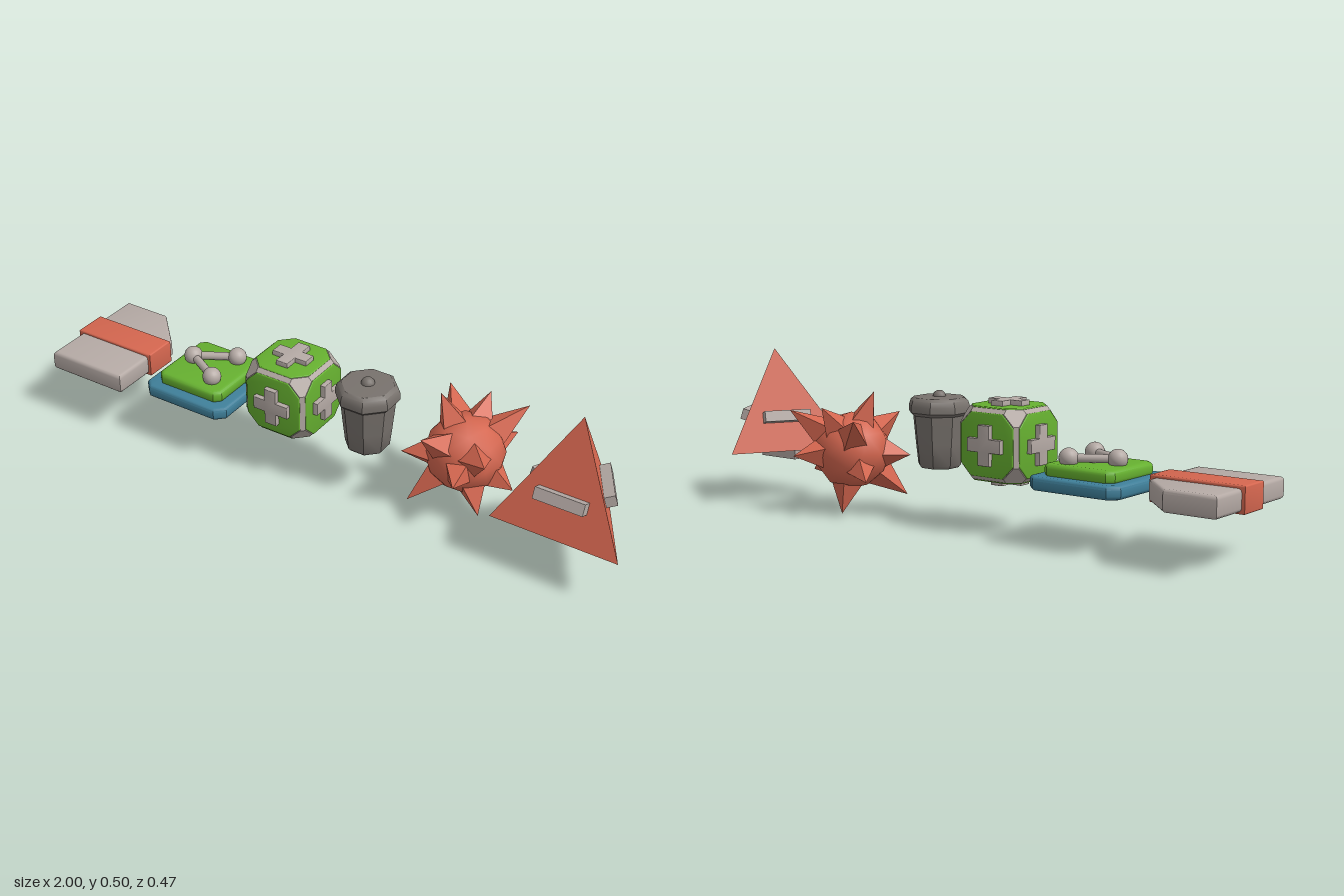
import * as THREE from 'three';
import { toCreasedNormals } from 'three/addons/utils/BufferGeometryUtils.js';
import { ConvexGeometry } from 'three/addons/geometries/ConvexGeometry.js';

function mat(name, color, flatShading = false) {
  const m = new THREE.MeshStandardMaterial({ color, flatShading });
  m.name = name;
  return m;
}

function add(parent, name, geometry, material, x = 0, y = 0, z = 0) {
  const mesh = new THREE.Mesh(geometry, material);
  mesh.name = name;
  mesh.position.set(x, y, z);
  parent.add(mesh);
  return mesh;
}

function group(parent, name, x = 0, y = 0, z = 0) {
  const g = new THREE.Group();
  g.name = name;
  g.position.set(x, y, z);
  parent.add(g);
  return g;
}

// Bevelled horizontal slab from an outline of [x, z] points
function slab(points, y0, y1, bevel) {
  const shape = new THREE.Shape(points.map(([x, z]) => new THREE.Vector2(x, -z)));
  const geo = new THREE.ExtrudeGeometry(shape, {
    depth: y1 - y0 - 2 * bevel, bevelSize: bevel, bevelThickness: bevel,
    bevelOffset: -bevel, bevelSegments: 3,
  });
  geo.rotateX(-Math.PI / 2).translate(0, y0 + bevel, 0);
  return toCreasedNormals(geo, 0.6);
}

// Square outline with cut corners
function octagon(h, cut) {
  const k = h - cut;
  return [[h, -k], [h, k], [k, h], [-k, h], [-h, k], [-h, -k], [-k, -h], [k, -h]].map(([x, z]) => [x, -z]);
}

// Rod between two points
function rod(parent, name, a, b, radius, material) {
  const dir = b.clone().sub(a);
  const mesh = add(parent, name, new THREE.CylinderGeometry(radius, radius, dir.length(), 12), material);
  mesh.position.copy(a).add(b).multiplyScalar(0.5);
  mesh.quaternion.setFromUnitVectors(new THREE.Vector3(0, 1, 0), dir.normalize());
}

export function createModel() {
  const model = new THREE.Group();
  model.name = 'itemSet';
  const grey = mat('light grey', 0xb5aaa5);
  const red = mat('coral red', 0xd4664f);
  const green = mat('green', 0x66b030);
  const blue = mat('blue', 0x3f7f99);
  const dark = mat('dark grey', 0x78726d);

  // Card with one cut corner and a band around it
  const card = group(model, 'card');
  add(card, 'cardBody', slab([[-0.99, 0.23], [-0.71, 0.23], [-0.71, -0.04], [-0.825, -0.158], [-0.99, -0.158]],
    0.168, 0.234, 0.012), grey);
  add(card, 'cardBand', slab([[-1, 0.087], [-0.7, 0.087], [-0.7, -0.02], [-1, -0.02]], 0.162, 0.243, 0.005), red);

  // Tile with three linked balls
  const tile = group(model, 'linkTile', -0.492, 0, 0.037);
  add(tile, 'tileBase', slab(octagon(0.157, 0.03), 0.17, 0.212, 0.012), blue);
  add(tile, 'tilePad', slab(octagon(0.122, 0.02), 0.205, 0.248, 0.015), green);
  const balls = [[0.057, -0.073], [-0.068, -0.004], [0.057, 0.065]].map(([x, z]) => new THREE.Vector3(x, 0.264, z));
  balls.forEach((p) => add(tile, 'linkBall', new THREE.SphereGeometry(0.03, 20, 14), grey, p.x, p.y, p.z));
  rod(tile, 'linkRod', balls[1], balls[0], 0.013, grey);
  rod(tile, 'linkRod', balls[1], balls[2], 0.013, grey);

  // Cut-corner cube with a plate and a plus on every face
  const cube = group(model, 'plusCube', -0.165, 0.279, 0.036);
  const corners = [];
  for (const sx of [-1, 1]) for (const sy of [-1, 1]) for (const sz of [-1, 1]) {
    for (const [a, b, c] of [[0, 1, 2], [0, 2, 1], [1, 0, 2], [1, 2, 0], [2, 0, 1], [2, 1, 0]]) {
      const v = [0.11, 0.098, 0.062];
      corners.push(new THREE.Vector3(sx * v[a], sy * v[b], sz * v[c]));
    }
  }
  add(cube, 'cubeBody', new ConvexGeometry(corners), grey);
  const turns = [[0, 0], [Math.PI / 2, 0], [-Math.PI / 2, 0], [Math.PI, 0], [0, 1], [0, -1]];
  for (const [rx, side] of turns) {
    const face = group(cube, 'cubeFace');
    face.rotation.set(rx, 0, side * Math.PI / 2);
    add(face, 'facePlate', slab(octagon(0.098, 0.04), 0.107, 0.114, 0.003), green);
    const w = 0.021, l = 0.062;
    const plus = [[w, l], [w, w], [l, w], [l, -w], [w, -w], [w, -l], [-w, -l], [-w, -w], [-l, -w], [-l, w], [-w, w], [-w, l]];
    add(face, 'facePlus', slab(plus, 0.105, 0.13, 0.002), grey);
  }

  // Eight-sided bin with a domed lid
  const bin = group(model, 'bin', 0.107, 0, 0.036);
  const lathe = (pts) => {
    const geo = new THREE.LatheGeometry(pts.map(([r, y]) => new THREE.Vector2(r, y)), 8, Math.PI / 8);
    return toCreasedNormals(geo, 0.6);
  };
  add(bin, 'binBody', lathe([[0, 0.171], [0.062, 0.171], [0.07, 0.18], [0.078, 0.25], [0.088, 0.35], [0, 0.35]]), dark);
  add(bin, 'binLid', lathe([[0, 0.338], [0.09, 0.338], [0.1, 0.348], [0.1, 0.368], [0.094, 0.385], [0.082, 0.394], [0, 0.397]]), dark);
  add(bin, 'lidKnob', new THREE.SphereGeometry(0.022, 14, 10), dark, 0, 0.393, 0);

  // Spiked ball: each spike given by its tip
  const spiky = group(model, 'spikedBall', 0.402, 0.205, -0.05);
  add(spiky, 'ballCore', new THREE.IcosahedronGeometry(0.125, 1), red);
  const tips = [
    [0.084, -0.005, -0.185], [0.135, 0.135, -0.145], [0, -0.202, -0.05], [-0.125, -0.15, 0.13],
    [-0.172, -0.01, 0.09], [-0.14, 0.12, -0.147], [-0.08, 0.195, 0.02], [0.06, 0, 0.184],
    [-0.064, 0.115, 0.165], [0.14, 0.08, 0.145], [0.167, -0.08, 0], [0.1, -0.145, 0.09],
    [0.01, 0.15, -0.13], [-0.14, -0.08, -0.09],
  ];
  tips.forEach((t, i) => {
    const tip = new THREE.Vector3(...t);
    const base = 0.08, len = tip.length() - base;
    const geo = new THREE.ConeGeometry(0.064, len, 4).toNonIndexed();
    geo.computeVertexNormals();
    const spike = add(spiky, 'spike', geo, red);
    const dir = tip.normalize();
    spike.position.copy(dir).multiplyScalar(base + len / 2);
    spike.quaternion.setFromUnitVectors(new THREE.Vector3(0, 1, 0), dir);
    spike.rotateY(i * 1.3);
  });

  // Three-sided pyramid with a bar on every face
  const pyramid = group(model, 'pyramid');
  const apex = new THREE.Vector3(0.795, 0.508, 0);
  const base = [[0.592, 0.147], [0.998, 0.147], [0.795, -0.208]].map(([x, z]) => new THREE.Vector3(x, 0.17, z));
  add(pyramid, 'pyramidBody', new ConvexGeometry([apex, ...base]), red);
  const bar = (centre, along, normal) => {
    const mesh = add(pyramid, 'faceBar', new THREE.BoxGeometry(0.157, 0.036, 0.04), grey);
    const up = normal.clone().cross(along);
    mesh.quaternion.setFromRotationMatrix(new THREE.Matrix4().makeBasis(along, up, normal));
    mesh.position.copy(centre).addScaledVector(normal, 0.013);
  };
  base.forEach((a, i) => {
    const b = base[(i + 1) % 3];
    const along = b.clone().sub(a).normalize();
    const normal = along.clone().cross(apex.clone().sub(a)).normalize();
    bar(apex.clone().lerp(a.clone().add(b).multiplyScalar(0.5), 0.67), along, normal);
  });
  bar(new THREE.Vector3(0.795, 0.166, 0.028), new THREE.Vector3(1, 0, 0), new THREE.Vector3(0, -1, 0));

  return model;
}
